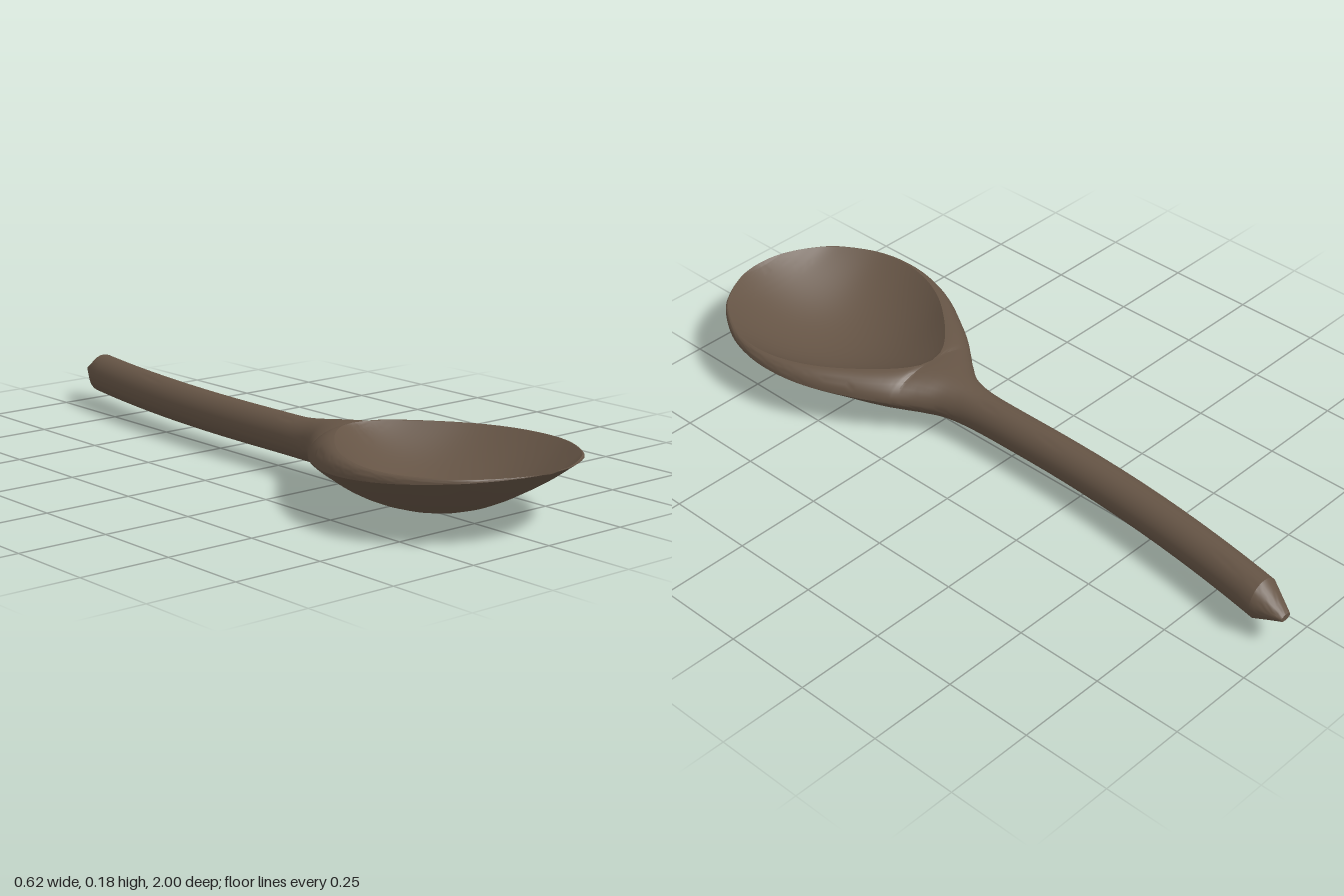
import * as THREE from 'three';
import { toCreasedNormals } from 'three/addons/utils/BufferGeometryUtils.js';

const { smoothstep, clamp, lerp } = THREE.MathUtils;

// Outline stations along the spoon: z, half width, bottom y
const OUTLINE = [
  [-1.0, 0.018, 0.087],
  [-0.915, 0.054, 0.04],
  [-0.5, 0.054, 0.04],
  [-0.1, 0.052, 0.04],
  [0.1, 0.055, 0.04],
  [0.19, 0.073, 0.04],
  [0.25, 0.112, 0.036],
  [0.3, 0.153, 0.029],
  [0.34, 0.184, 0.022],
  [0.4, 0.222, 0.012],
  [0.5, 0.275, 0.002],
  [0.6, 0.304, 0.004],
  [0.7, 0.309, 0.02],
  [0.8, 0.285, 0.055],
  [0.9, 0.222, 0.108],
  [0.95, 0.16, 0.142],
  [0.985, 0.09, 0.166],
  [0.997, 0.04, 0.174],
  [1.0, 0, 0.176],
];

const STEPS = 6; // rings per station
const UNDER = 12, SIDE = 8, HOLLOW = 12; // points on each stretch of half a ring

// Smooth interpolation between stations, keeping the handle tip a straight taper
function outlineAt(i, t) {
  const at = (k) => OUTLINE[clamp(k, 1, OUTLINE.length - 1)];
  return OUTLINE[i].map((a, k) => {
    const b = OUTLINE[i + 1][k];
    if (i === 0) return lerp(a, b, t);
    const m0 = (b - at(i - 1)[k]) / 2, m1 = (at(i + 2)[k] - a) / 2;
    const t2 = t * t, t3 = t2 * t;
    return (2 * t3 - 3 * t2 + 1) * a + (t3 - 2 * t2 + t) * m0 + (3 * t2 - 2 * t3) * b + (t3 - t2) * m1;
  });
}

// One closed ring: underside, rounded side up to the rim, then across the hollow
function crossSection([z, w, bottom]) {
  const bend = z < -0.1 ? 0.12 * (z + 0.1) ** 2 : 0; // sideways curve of the handle
  const mid = Math.max(0.096, 0.08 + 0.098 * z); // height of the widest line
  const taper = lerp(0.16, 1, clamp((z + 1) / 0.085, 0, 1)); // pointed handle tip
  const top = z < 0 ? mid + 0.056 * taper
    : 0.152 + 0.022 * smoothstep(z, 0.08, 0.3) + 0.006 * smoothstep(z, 0.65, 1);
  const blend = smoothstep(z, 0.12, 0.45); // round handle to bowl underside
  const u = clamp((z - 0.3) / 0.7, 0, 1); // position along the hollow
  const hollow = w * 0.96 * (1 - Math.pow(1 - Math.sqrt(u), 2.6));
  const depth = 0.12 * Math.pow(Math.max(0, Math.sin(Math.PI * u)), 0.9);

  const half = [];
  for (let i = 0; i < UNDER; i++) {
    const a = (i / UNDER) * Math.PI / 2, s = Math.sin(a);
    const drop = lerp(Math.cos(a), 1 - Math.pow(s, 1.8), blend);
    half.push([w * s, mid - (mid - bottom) * drop]);
  }
  for (let i = 0; i <= SIDE; i++) {
    const a = (i / SIDE) * Math.PI / 2;
    half.push([hollow + (w - hollow) * Math.cos(a), mid + (top - mid) * Math.sin(a)]);
  }
  for (let i = 1; i <= HOLLOW; i++) {
    const r = 1 - i / HOLLOW;
    half.push([hollow * r, top - depth * (1 - r * r)]);
  }
  const mirrored = half.slice(1, -1).reverse().map(([x, y]) => [-x, y]);
  return [...half, ...mirrored].map(([x, y]) => [bend + x, y, z]);
}

function spoonGeometry() {
  const rings = [];
  for (let i = 0; i < OUTLINE.length - 1; i++) {
    for (let s = 0; s < STEPS; s++) rings.push(crossSection(outlineAt(i, s / STEPS)));
  }
  rings.push(crossSection(OUTLINE[OUTLINE.length - 1]));

  const n = rings[0].length;
  const index = [];
  for (let i = 0; i < rings.length - 1; i++) {
    for (let j = 0; j < n; j++) {
      const a = i * n + j, b = i * n + (j + 1) % n;
      index.push(a, b, b + n, a, b + n, a + n);
    }
  }
  // Flat cap on the handle tip
  for (let j = 1; j < n - 1; j++) index.push(0, j + 1, j);

  const geometry = new THREE.BufferGeometry();
  geometry.setAttribute('position', new THREE.Float32BufferAttribute(rings.flat(2), 3));
  geometry.setIndex(index);
  return toCreasedNormals(geometry, 0.42);
}

export function createModel() {
  const wood = new THREE.MeshStandardMaterial({ color: 0x655445 });
  wood.name = 'dark wood';

  // Handle and bowl are carved as one continuous body
  const spoon = new THREE.Mesh(spoonGeometry(), wood);
  spoon.name = 'handleAndBowl';

  const group = new THREE.Group();
  group.name = 'woodenSpoon';
  group.add(spoon);
  return group;
}
